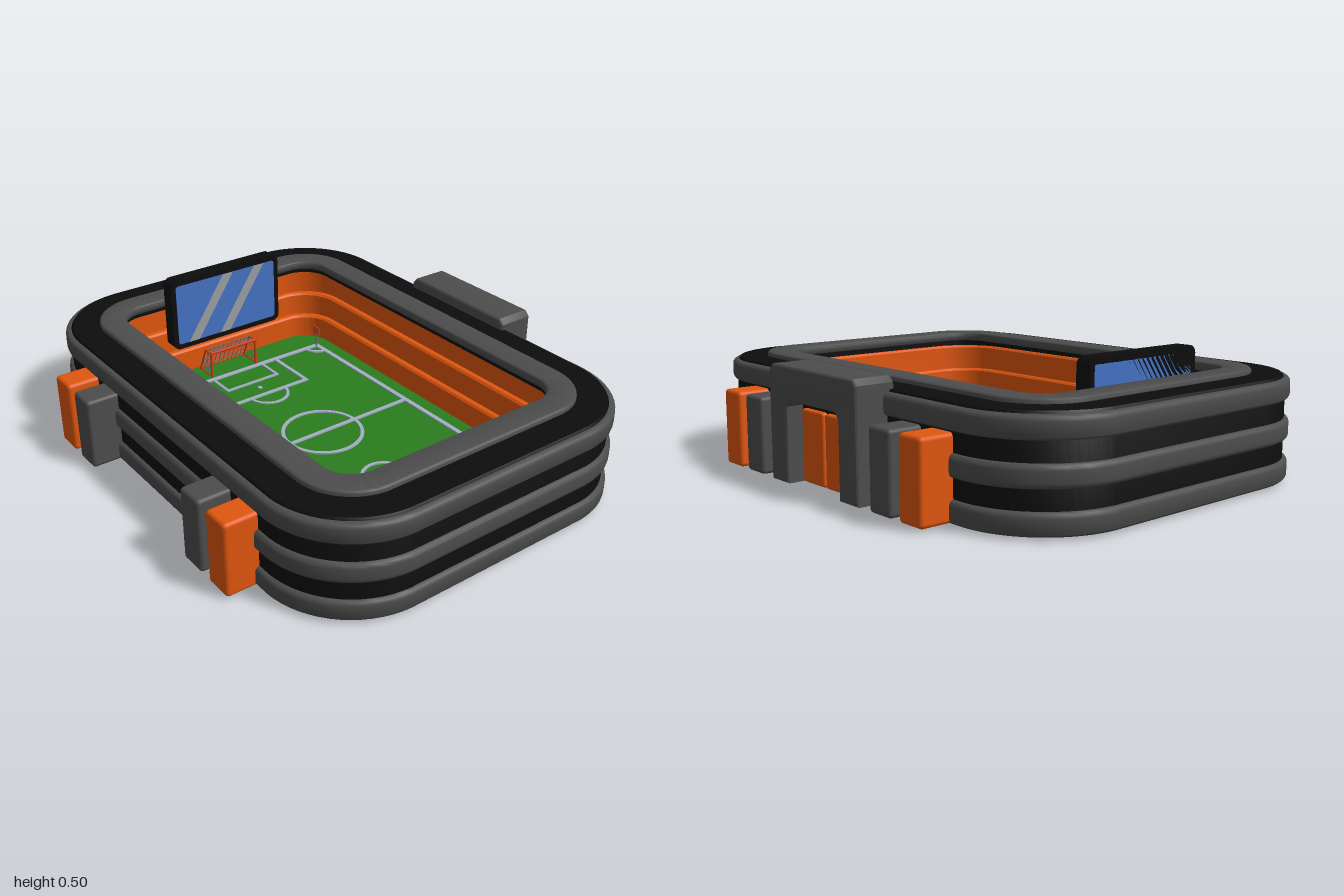
import * as THREE from 'three';
import { toCreasedNormals } from 'three/addons/utils/BufferGeometryUtils.js';
import { RoundedBoxGeometry } from 'three/addons/geometries/RoundedBoxGeometry.js';

const mat = (color) => new THREE.MeshStandardMaterial({ color });
const GREY = mat(0x4d4d4d), BLACK = mat(0x0d0d0d), ORANGE = mat(0xe0560f), GREEN = mat(0x2b7d1e);
const LINE = mat(0xa3afc4), RED = mat(0xd8421a), BLUE = mat(0x4472c4), GLINT = mat(0x9c9fa3), NET = mat(0x6f7480);

const CORE_X = 0.375, CORE_Z = 0.647; // centres of the corner arcs
const FIELD_Y = 0.03, MID_Z = -0.005;

function add(parent, name, geo, material, x = 0, y = 0, z = 0) {
  const mesh = new THREE.Mesh(geo, material);
  mesh.name = name;
  mesh.position.set(x, y, z);
  parent.add(mesh);
  return mesh;
}

// Box given by its minimum and maximum corners
function box(parent, name, material, a, b, radius = 0) {
  const s = b.map((v, i) => v - a[i]);
  const geo = radius ? new RoundedBoxGeometry(...s, 3, radius) : new THREE.BoxGeometry(...s);
  return add(parent, name, geo, material, ...a.map((v, i) => (v + b[i]) / 2));
}

// Lathe whose four quadrants are pushed apart into a rounded rectangle
function ring(parent, name, material, profile) {
  const n = 64;
  const geo = new THREE.LatheGeometry(profile.map(([r, y]) => new THREE.Vector2(r, y)), n, Math.PI / n);
  const p = geo.attributes.position;
  for (let i = 0; i < p.count; i++) {
    p.setX(i, p.getX(i) + Math.sign(p.getX(i)) * CORE_X);
    p.setZ(i, p.getZ(i) + Math.sign(p.getZ(i)) * CORE_Z);
  }
  return add(parent, name, toCreasedNormals(geo, 0.7), material);
}

// Closed rectangular profile with rounded corners
function roundedProfile(r0, r1, y0, y1, c) {
  const pts = [];
  [[r1 - c, y0 + c], [r1 - c, y1 - c], [r0 + c, y1 - c], [r0 + c, y0 + c]].forEach(([r, y], k) => {
    for (let i = 0; i <= 4; i++) {
      const t = (k - 1 + i / 4) * Math.PI / 2;
      pts.push([r + c * Math.cos(t), y + c * Math.sin(t)]);
    }
  });
  return [...pts, pts[0]];
}

function rod(parent, name, material, a, b, r) {
  const curve = new THREE.LineCurve3(new THREE.Vector3(...a), new THREE.Vector3(...b));
  return add(parent, name, new THREE.TubeGeometry(curve, 1, r, 6), material);
}

function roundedRect(x0, y0, x1, y1, r, shape = new THREE.Shape()) {
  shape.moveTo(x0 + r, y0);
  shape.absarc(x1 - r, y0 + r, r, -Math.PI / 2, 0);
  shape.absarc(x1 - r, y1 - r, r, 0, Math.PI / 2);
  shape.absarc(x0 + r, y1 - r, r, Math.PI / 2, Math.PI);
  shape.absarc(x0 + r, y0 + r, r, Math.PI, Math.PI * 1.5);
  return shape;
}

function buildMarkings(parent) {
  const g = new THREE.Group();
  g.name = 'pitchMarkings';
  parent.add(g);
  const stripe = (x0, z0, x1, z1, w) => box(g, 'pitchLine', LINE,
    [Math.min(x0, x1) - w / 2, FIELD_Y - 0.004, Math.min(z0, z1) - w / 2],
    [Math.max(x0, x1) + w / 2, FIELD_Y + 0.006, Math.max(z0, z1) + w / 2]);
  const arc = (x, z, r, w, start, sweep) => {
    const s = new THREE.Shape();
    s.absarc(0, 0, r + w / 2, start, start + sweep, false);
    s.absarc(0, 0, Math.max(r - w / 2, 0.001), start + sweep, start, true);
    const geo = new THREE.ExtrudeGeometry(s, { depth: 0.01, bevelEnabled: false, curveSegments: 40 });
    geo.rotateX(-Math.PI / 2);
    add(g, 'pitchArc', geo, LINE, x, FIELD_Y - 0.004, z);
  };
  arc(0, MID_Z, 0.158, 0.014, 0, Math.PI * 2);
  stripe(-0.43, MID_Z, 0.43, MID_Z, 0.016);
  for (const s of [1, -1]) {
    const z = (d) => MID_Z + s * d;
    stripe(-0.43, z(0.625), 0.43, z(0.625), 0.02);
    stripe(s * 0.43, z(-0.625), s * 0.43, z(0.625), 0.02);
    // Penalty and goal areas
    for (const [hw, d, w] of [[0.198, 0.388, 0.016], [0.125, 0.503, 0.012]]) {
      stripe(-hw, z(d), hw, z(d), w);
      for (const m of [-1, 1]) stripe(m * hw, z(d), m * hw, z(0.625), w);
    }
    arc(0, z(0.388), 0.085, 0.012, s > 0 ? 0 : Math.PI, Math.PI);
    arc(0, z(0.447), 0.005, 0.009, 0, Math.PI * 2);
    // Corner arcs and flags
    for (const m of [-1, 1]) {
      const start = m > 0 ? (s > 0 ? 0.5 : 1) : (s > 0 ? 0 : 1.5);
      arc(m * 0.43, z(0.625), 0.065, 0.014, start * Math.PI, Math.PI / 2);
      rod(g, 'flagPole', NET, [m * 0.425, FIELD_Y, z(0.62)], [m * 0.425, 0.13, z(0.62)], 0.004);
      box(g, 'cornerFlag', RED, [m * 0.425 - 0.002, 0.095, z(0.62) - 0.02], [m * 0.425 + 0.002, 0.128, z(0.62) + 0.02]);
    }
  }
}

// Goal with its mouth at z = 0 and its net reaching back to z = 0.1
function buildGoal(parent, z, turn) {
  const g = new THREE.Group();
  g.name = 'goal';
  g.position.set(0, FIELD_Y, z);
  g.rotation.y = turn;
  parent.add(g);
  const W = 0.112, H = 0.115, D = 0.1, T = 0.045;
  rod(g, 'crossbar', RED, [-W, H, 0], [W, H, 0], 0.006);
  rod(g, 'backBar', RED, [-W, 0.005, D], [W, 0.005, D], 0.004);
  for (const m of [-1, 1]) {
    const x = m * W;
    rod(g, 'goalPost', RED, [x, 0, 0], [x, H + 0.005, 0], 0.006);
    rod(g, 'topStay', RED, [x, H, 0], [x, H, T], 0.004);
    rod(g, 'backStay', RED, [x, H, T], [x, 0, D], 0.004);
    rod(g, 'baseBar', RED, [x, 0.005, 0], [x, 0.005, D], 0.004);
    for (const t of [0.33, 0.67]) {
      rod(g, 'sideNet', NET, [x, H * t, 0], [x, H * t, D - (D - T) * t], 0.0015);
      rod(g, 'sideNet', NET, [x, 0, D * t], [x, H * Math.min(1, (1 - t) * 1.8), D * t], 0.0015);
    }
  }
  for (let i = 1; i < 10; i++) {
    const x = -W + i * W / 5;
    rod(g, 'net', NET, [x, H, 0], [x, H, T], 0.0015);
    rod(g, 'net', NET, [x, H, T], [x, 0, D], 0.0015);
  }
  for (let i = 1; i <= 5; i++) {
    const t = i / 5;
    rod(g, 'net', NET, [-W, H * t, D - (D - T) * t], [W, H * t, D - (D - T) * t], 0.0015);
  }
  rod(g, 'net', NET, [-W, H, T / 2], [W, H, T / 2], 0.0015);
}

function buildGate(parent) {
  const g = new THREE.Group();
  g.name = 'entranceGate';
  parent.add(g);
  // Arch drawn in the z-y plane, extruded along x
  const s = new THREE.Shape();
  [[-0.26, 0.02], [-0.172, 0.02], [-0.172, 0.29], [-0.145, 0.317], [0.145, 0.317], [0.172, 0.29], [0.172, 0.02],
    [0.26, 0.02], [0.26, 0.405], [0.245, 0.42], [-0.245, 0.42], [-0.26, 0.405]]
    .forEach(([x, y], i) => (i ? s.lineTo(x, y) : s.moveTo(x, y)));
  const geo = new THREE.ExtrudeGeometry(s, { depth: 0.135, bevelSize: 0.01, bevelThickness: 0.01, bevelSegments: 3 });
  geo.rotateY(Math.PI / 2);
  add(g, 'gateArch', toCreasedNormals(geo, 0.6), GREY, 0.69);
  box(g, 'gateRecess', BLACK, [0.68, 0.012, -0.175], [0.765, 0.32, 0.175]);
  for (const m of [-1, 1]) box(g, 'gateDoor', ORANGE, [0.74, 0.015, m * 0.073 - 0.068], [0.785, 0.278, m * 0.073 + 0.068], 0.01);
}

function buildScreen(parent) {
  const g = new THREE.Group();
  g.name = 'videoScreen';
  g.position.z = -0.752;
  parent.add(g);
  const frame = new THREE.ExtrudeGeometry(roundedRect(-0.265, 0.19, 0.265, 0.5, 0.03), { depth: 0.06, bevelEnabled: false });
  add(g, 'screenFrame', toCreasedNormals(frame, 0.6), BLACK);
  add(g, 'screenPanel', new THREE.ExtrudeGeometry(roundedRect(-0.243, 0.213, 0.243, 0.477, 0.012), { depth: 0.062, bevelEnabled: false }), BLUE);
  // Slanted reflections
  for (const x of [-0.17, -0.015]) {
    const s = new THREE.Shape();
    s.moveTo(x - 0.025, 0.213);
    s.lineTo(x + 0.025, 0.213);
    s.lineTo(x + 0.205, 0.477);
    s.lineTo(x + 0.155, 0.477);
    add(g, 'screenGlint', new THREE.ExtrudeGeometry(s, { depth: 0.0635, bevelEnabled: false }), GLINT);
  }
}

export function createModel() {
  const model = new THREE.Group();
  model.name = 'stadium';

  // Outer shell, bands and roof
  ring(model, 'shell', BLACK, [[0.1, 0.012], [0.335, 0.012], [0.335, 0.37], [0.322, 0.387], [0.12, 0.387],
    [0.12, 0.352], [0.205, 0.352], [0.205, 0.025], [0.1, 0.025], [0.1, 0.012]]);
  for (const y of [0.008, 0.154, 0.3]) ring(model, 'outerBand', GREY, roundedProfile(0.29, 0.352, y, y + 0.079, 0.02));
  ring(model, 'roofRing', GREY, roundedProfile(0.108, 0.215, 0.368, 0.405, 0.012));

  // Stepped seating under the roof
  ring(model, 'seatingTiers', ORANGE, [[0.206, 0.335], [0.19, 0.335], [0.182, 0.327], [0.182, 0.23], [0.162, 0.23],
    [0.154, 0.222], [0.154, 0.13], [0.134, 0.13], [0.126, 0.122], [0.126, 0.02]]);

  // Pitch
  box(model, 'pitch', GREEN, [-0.55, 0, -0.815], [0.55, FIELD_Y, 0.815], 0.014);
  buildMarkings(model);
  buildGoal(model, 0.645, 0);
  buildGoal(model, -0.655, Math.PI);

  // Side pillars
  for (const sx of [-1, 1]) for (const sz of [-1, 1]) {
    for (const [z, m, name] of [[0.392, GREY, 'greyPillar'], [0.55, ORANGE, 'orangePillar']]) {
      box(model, name, m, [sx * 0.763 - 0.073, 0.01, sz * z - 0.057], [sx * 0.763 + 0.073, 0.296, sz * z + 0.057], 0.015);
    }
  }
  buildGate(model);
  buildScreen(model);
  return model;
}
